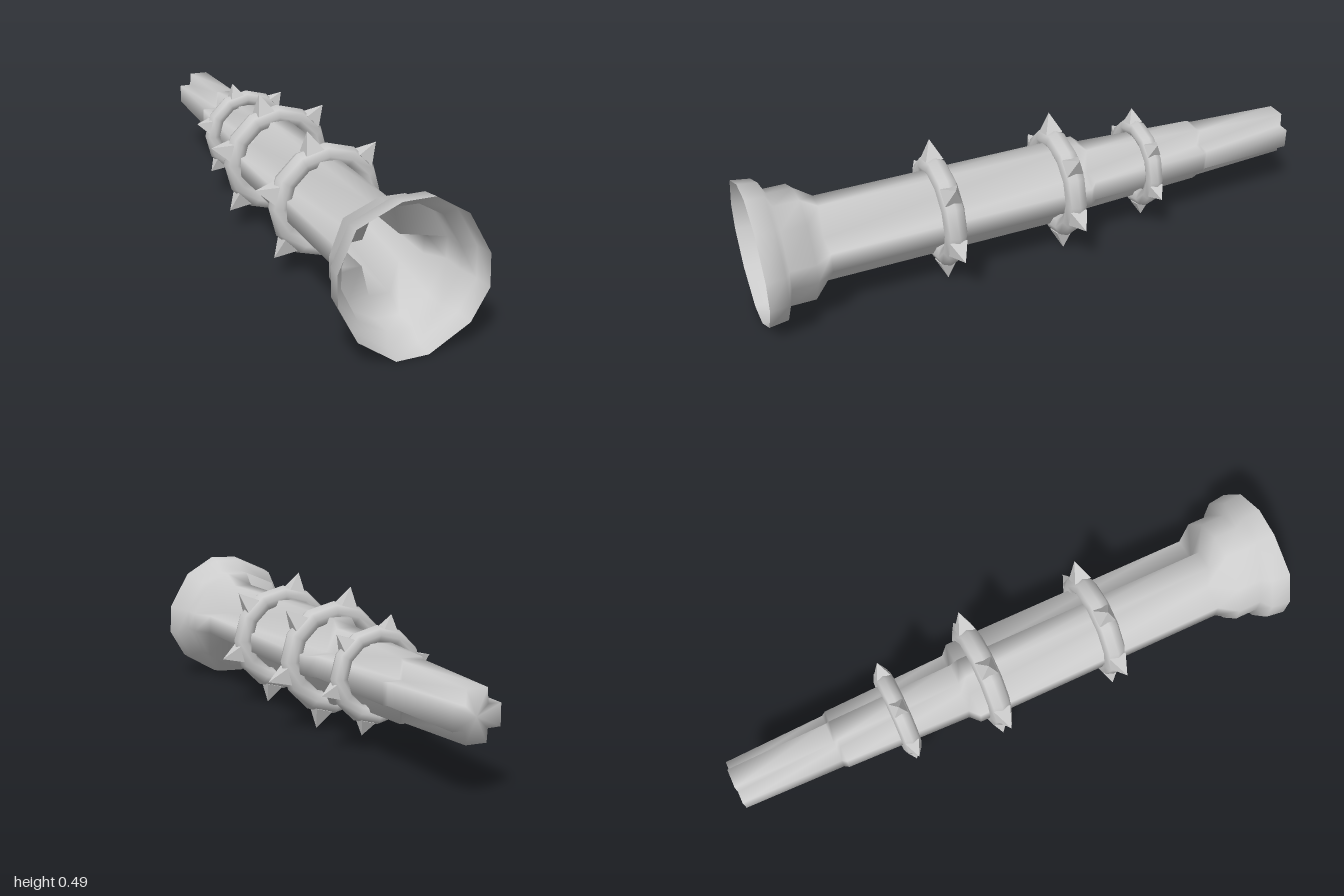
import * as THREE from 'three';

const material = new THREE.MeshStandardMaterial({ color: 0xcccccc, side: THREE.DoubleSide });
const spikeMaterial = new THREE.MeshStandardMaterial({ color: 0xcccccc, flatShading: true });
const CY = 0.245;

// Twelve-point plus section, clockwise from the top arm's left corner
function plus(left, right, top, bottom, tip, rootX, rootY) {
  const cx = -0.003, cy = 0.242;
  return [
    [cx - tip, top], [cx + tip, top], [cx + rootX, cy + rootY],
    [right, cy + tip], [right, cy - tip], [cx + rootX, cy - rootY],
    [cx + tip, bottom], [cx - tip, bottom], [cx - rootX, cy - rootY],
    [left, cy - tip], [left, cy + tip], [cx - rootX, cy + rootY],
  ];
}

// Twelve-sided outlines of the flared mouth
const rim = [[-0.055, 0.485], [0.048, 0.487], [0.155, 0.422], [0.23, 0.29], [0.234, 0.183], [0.176, 0.082],
  [0.046, 0.005], [-0.057, 0.002], [-0.178, 0.085], [-0.24, 0.203], [-0.243, 0.3], [-0.19, 0.424]];
const throat = [[-0.042, 0.436], [0.04, 0.436], [0.12, 0.39], [0.184, 0.28], [0.184, 0.21], [0.125, 0.105],
  [0.035, 0.053], [-0.045, 0.053], [-0.14, 0.105], [-0.193, 0.213], [-0.193, 0.28], [-0.153, 0.388]];
const scaled = (loop, s) => loop.map(([x, y]) => [x * s, CY + (y - CY) * s]);

// Open shell skinned over the sections, closed at the narrow end
function loft(sections) {
  const positions = [], index = [], n = 12;
  for (const [z, loop] of sections) for (const [x, y] of loop) positions.push(x, y, z);
  for (let i = 0; i < sections.length - 1; i++) {
    for (let j = 0; j < n; j++) {
      const k = (j + 1) % n;
      const a = i * n + j, b = i * n + k, c = a + n, d = b + n;
      index.push(a, b, c, b, d, c);
    }
  }
  const last = (sections.length - 1) * n, centre = sections.length * n;
  positions.push(-0.003, 0.243, sections[sections.length - 1][0]);
  for (let j = 0; j < n; j++) index.push(centre, last + j, last + (j + 1) % n);
  const geometry = new THREE.BufferGeometry();
  geometry.setAttribute('position', new THREE.Float32BufferAttribute(positions, 3));
  geometry.setIndex(index);
  geometry.computeVertexNormals();
  return geometry;
}

// Faceted ring with six pyramid spikes
function spikedRing(name, z, major, tube, tipRadius) {
  const group = new THREE.Group();
  group.name = name;
  group.position.set(-0.002, 0.247, z);
  const ring = new THREE.Mesh(new THREE.TorusGeometry(major, tube, 8, 12), material);
  ring.name = 'ring';
  ring.scale.z = 1.1;
  group.add(ring);

  const base = major + tube * 0.6, height = tipRadius - base;
  const spikeGeometry = new THREE.ConeGeometry(tube * 1.2, height, 4);
  spikeGeometry.rotateY(Math.PI / 4);
  for (let i = 0; i < 6; i++) {
    const angle = Math.PI / 4 + i * Math.PI / 3;
    const spike = new THREE.Mesh(spikeGeometry, spikeMaterial);
    spike.name = 'spike';
    const r = base + height / 2;
    spike.position.set(r * Math.cos(angle), r * Math.sin(angle), 0);
    spike.rotation.z = angle - Math.PI / 2;
    group.add(spike);
  }
  return group;
}

export function createModel() {
  const model = new THREE.Group();
  model.name = 'spikedHorn';

  // Horn: flared mouth, plus-shaped barrel and stepped, tapering tail
  const barrel = plus(-0.148, 0.14, 0.393, 0.098, 0.034, 0.06, 0.042);
  const horn = new THREE.Mesh(loft([
    [1, rim],
    [0.935, scaled(rim, 0.965)],
    [0.915, throat],
    [0.83, throat],
    [0.77, barrel],
    [-0.155, barrel],
    [-0.185, plus(-0.115, 0.107, 0.366, 0.124, 0.036, 0.045, 0.04)],
    [-0.63, plus(-0.1, 0.095, 0.345, 0.141, 0.036, 0.041, 0.038)],
    [-0.645, plus(-0.09, 0.085, 0.337, 0.15, 0.036, 0.039, 0.037)],
    [-1, plus(-0.082, 0.074, 0.324, 0.166, 0.034, 0.037, 0.035)],
  ]), material);
  horn.name = 'horn';
  model.add(horn);

  // Spiked rings around the barrel and tail
  model.add(spikedRing('frontRing', 0.355, 0.16, 0.036, 0.25));
  model.add(spikedRing('middleRing', -0.085, 0.16, 0.036, 0.25));
  model.add(spikedRing('rearRing', -0.405, 0.133, 0.029, 0.2));
  return model;
}
